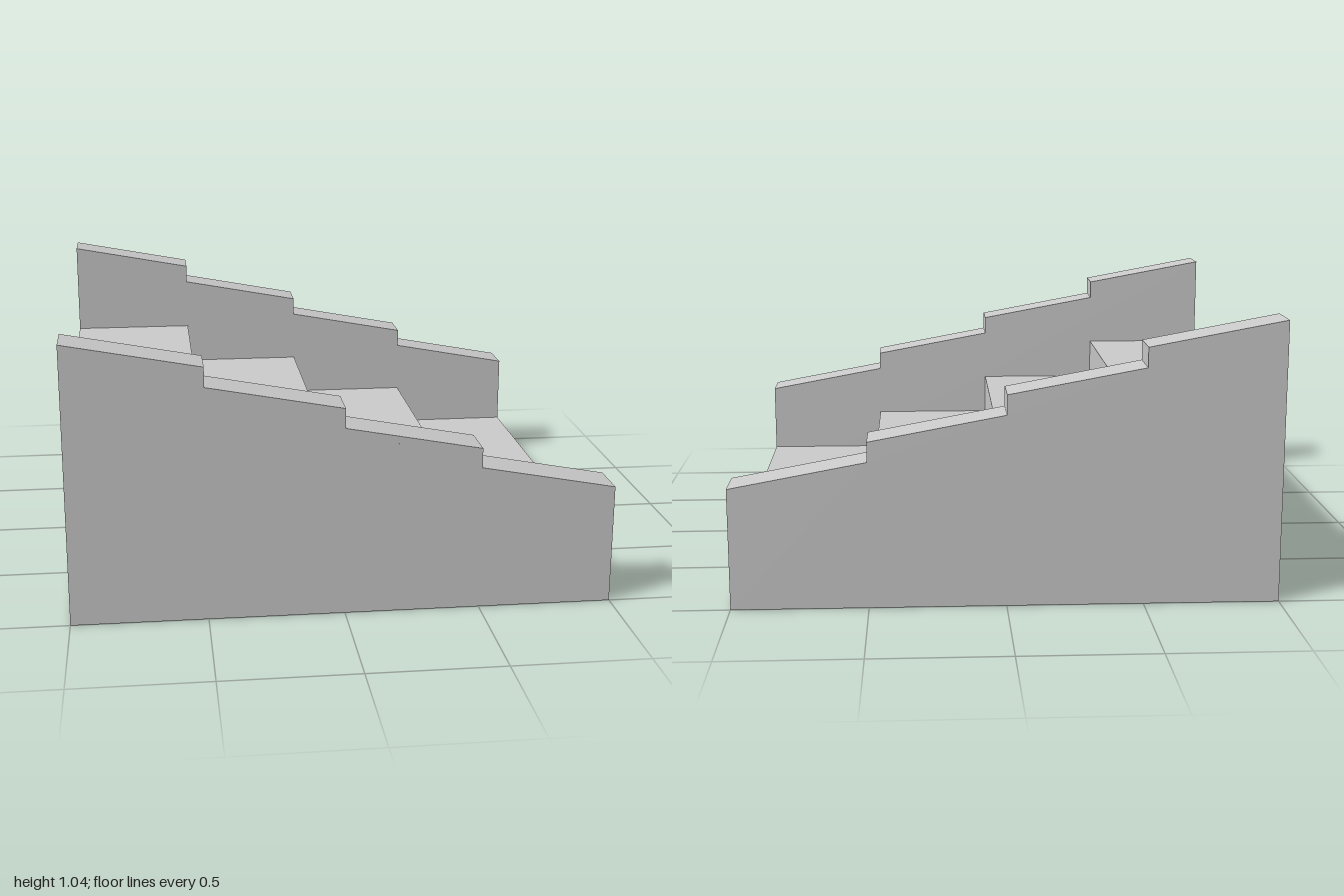
import * as THREE from 'three';

const STEPS = 4, RUN = 0.5, RISE = 1 / 6;
const INNER = 0.837; // half width between the side walls

export function createModel() {
  const group = new THREE.Group();
  const material = new THREE.MeshStandardMaterial({ color: 0xcccccc, flatShading: true });

  // Side profile descending towards +x; each segment runs from y0 to y1 and drops RISE per step
  function addProfile(name, y0, y1, zStart, zEnd) {
    const shape = new THREE.Shape();
    shape.moveTo(1, 0);
    for (let i = STEPS - 1; i >= 0; i--) {
      const x = -1 + i * RUN;
      shape.lineTo(x + RUN, y1 - i * RISE);
      shape.lineTo(x, y0 - i * RISE);
    }
    shape.lineTo(-1, 0);
    shape.closePath();
    const geometry = new THREE.ExtrudeGeometry(shape, { depth: zEnd - zStart, bevelEnabled: false });
    geometry.translate(0, 0, zStart);
    const mesh = new THREE.Mesh(geometry, material);
    mesh.name = name;
    group.add(mesh);
  }

  // Flat treads between two walls with sloped, stepped tops
  addProfile('steps', STEPS * RISE, STEPS * RISE, -INNER, INNER);
  addProfile('frontWall', 1.043, 0.95, INNER, 1);
  addProfile('backWall', 1.043, 0.95, -1, -INNER);

  group.name = 'staircase';
  return group;
}
